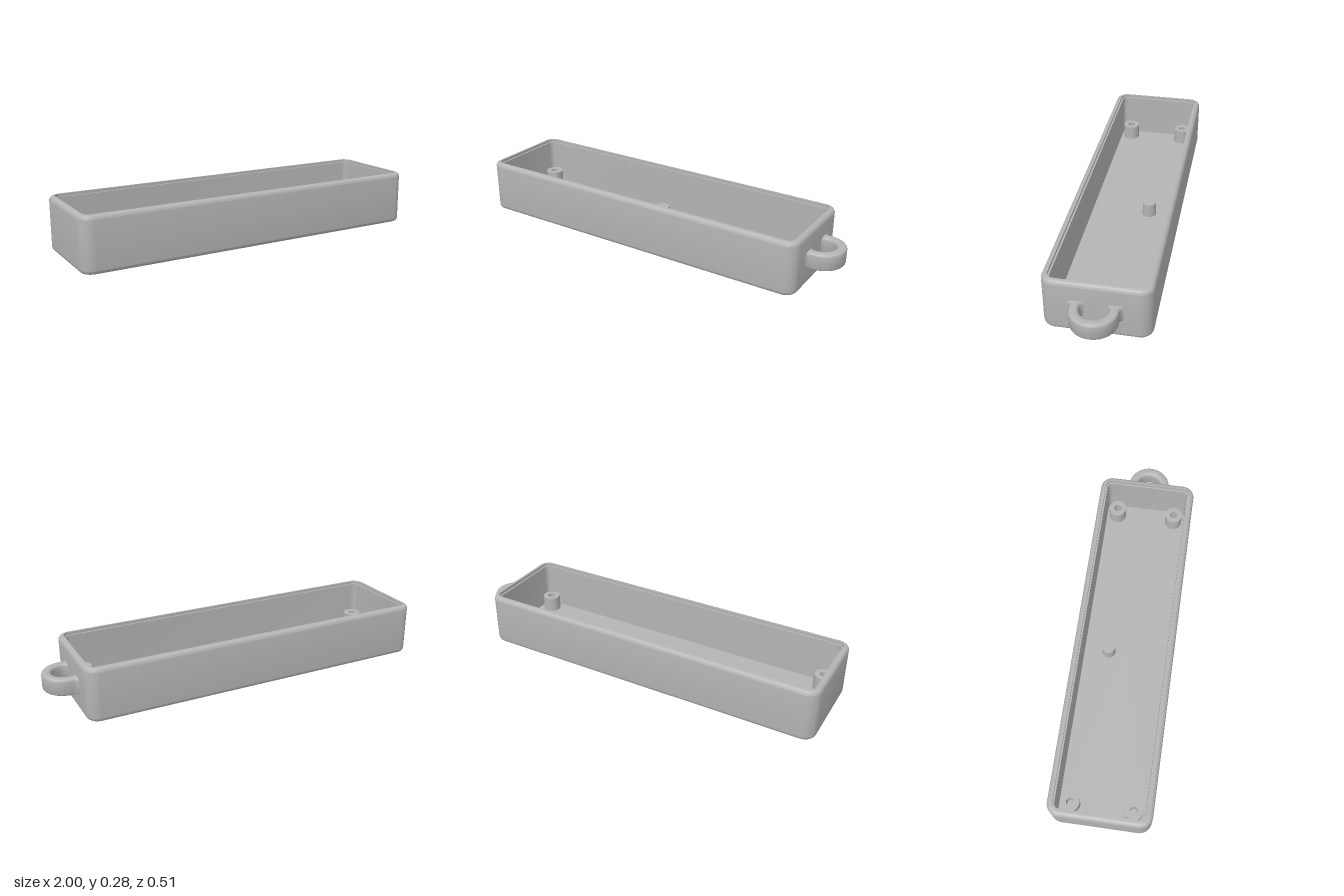
import * as THREE from 'three';
import { toCreasedNormals } from 'three/addons/utils/BufferGeometryUtils.js';

const X0 = -1, X1 = 0.856, HALF_Z = 0.256, HEIGHT = 0.277, CORNER = 0.062;
const FLOOR = 0.03, CX = (X0 + X1) / 2, HALF_X = (X1 - X0) / 2;

// Rounded-rectangle loop, set in from the outer wall
function loop(inset, y, steps = 10) {
  const r = Math.max(CORNER - inset, 0.02), pts = [];
  const ax = HALF_X - inset - r, az = HALF_Z - inset - r;
  [[1, 1], [-1, 1], [-1, -1], [1, -1]].forEach(([sx, sz], q) => {
    for (let i = 0; i <= steps; i++) {
      const a = (q + i / steps) * Math.PI / 2;
      pts.push([CX + sx * ax + r * Math.cos(a), y, sz * az + r * Math.sin(a)]);
    }
  });
  return pts;
}

// Skin consecutive loops and close both ends with fans
function shellGeometry(profile) {
  const loops = profile.map(([d, y]) => loop(d, y)), pos = [];
  const n = loops[0].length;
  const first = [CX, profile[0][1], 0], last = [CX, profile[profile.length - 1][1], 0];
  for (let j = 0; j < n; j++) {
    const k = (j + 1) % n, end = loops[loops.length - 1];
    pos.push(...first, ...loops[0][j], ...loops[0][k]);
    for (let i = 0; i < loops.length - 1; i++) {
      const a = loops[i][j], b = loops[i][k], c = loops[i + 1][j], d = loops[i + 1][k];
      pos.push(...a, ...c, ...b, ...b, ...c, ...d);
    }
    pos.push(...end[j], ...last, ...end[k]);
  }
  const g = new THREE.BufferGeometry();
  g.setAttribute('position', new THREE.Float32BufferAttribute(pos, 3));
  return toCreasedNormals(g, 0.6);
}

export function createModel() {
  const model = new THREE.Group();
  model.name = 'openEnclosure';
  const grey = new THREE.MeshStandardMaterial({ color: 0xb4b4b4 });
  grey.name = 'grey plastic';
  const add = (name, geometry, x = 0, y = 0, z = 0) => {
    const mesh = new THREE.Mesh(geometry, grey);
    mesh.name = name;
    mesh.position.set(x, y, z);
    model.add(mesh);
  };

  // Tray: filleted outside edges, stepped rim, hollow inside
  const profile = [], f = 0.022;
  for (let i = 0; i <= 6; i++) {
    const a = i / 6 * Math.PI / 2;
    profile.push([f - f * Math.sin(a), f - f * Math.cos(a)]);
  }
  for (let i = 0; i <= 6; i++) {
    const a = i / 6 * Math.PI / 2;
    profile.push([f - f * Math.cos(a), HEIGHT - f + f * Math.sin(a)]);
  }
  profile.push([0.027, HEIGHT], [0.027, 0.262], [0.036, 0.262], [0.036, FLOOR]);
  add('tray', shellGeometry(profile));

  // Hollow screw posts in the corners
  const post = toCreasedNormals(new THREE.LatheGeometry([
    [0.047, 0], [0.047, 0.08], [0.02, 0.08], [0.02, 0],
  ].map(([r, y]) => new THREE.Vector2(r, y)), 32), 0.6);
  for (const x of [-0.905, 0.757])
    for (const z of [-0.16, 0.16]) add('screwPost', post, x, FLOOR, z);

  // Plain support peg
  add('supportPeg', new THREE.CylinderGeometry(0.036, 0.036, 0.076, 32), -0.073, FLOOR + 0.038, -0.09);

  // Keyring loop with flared feet
  const s = new THREE.Shape();
  s.moveTo(0.835, -0.127);
  s.lineTo(0.857, -0.127);
  s.quadraticCurveTo(0.862, -0.113, 0.877, -0.112);
  s.absarc(0.888, 0, 0.112, -Math.PI / 2, Math.PI / 2, false);
  s.lineTo(0.877, 0.112);
  s.quadraticCurveTo(0.862, 0.113, 0.857, 0.127);
  s.lineTo(0.835, 0.127);
  s.lineTo(0.835, 0.054);
  s.lineTo(0.857, 0.054);
  s.quadraticCurveTo(0.862, 0.067, 0.877, 0.068);
  s.absarc(0.885, 0, 0.068, Math.PI / 2, -Math.PI / 2, true);
  s.lineTo(0.877, -0.068);
  s.quadraticCurveTo(0.862, -0.067, 0.857, -0.054);
  s.lineTo(0.835, -0.054);
  const b = 0.014;
  const ring = new THREE.ExtrudeGeometry(s, {
    depth: 0.088 - 2 * b, bevelEnabled: true, bevelSize: b, bevelThickness: b,
    bevelOffset: -b, bevelSegments: 5, curveSegments: 28,
  });
  ring.rotateX(-Math.PI / 2);
  add('keyringLoop', toCreasedNormals(ring, 0.6), 0, 0.095 + b, 0);

  return model;
}
